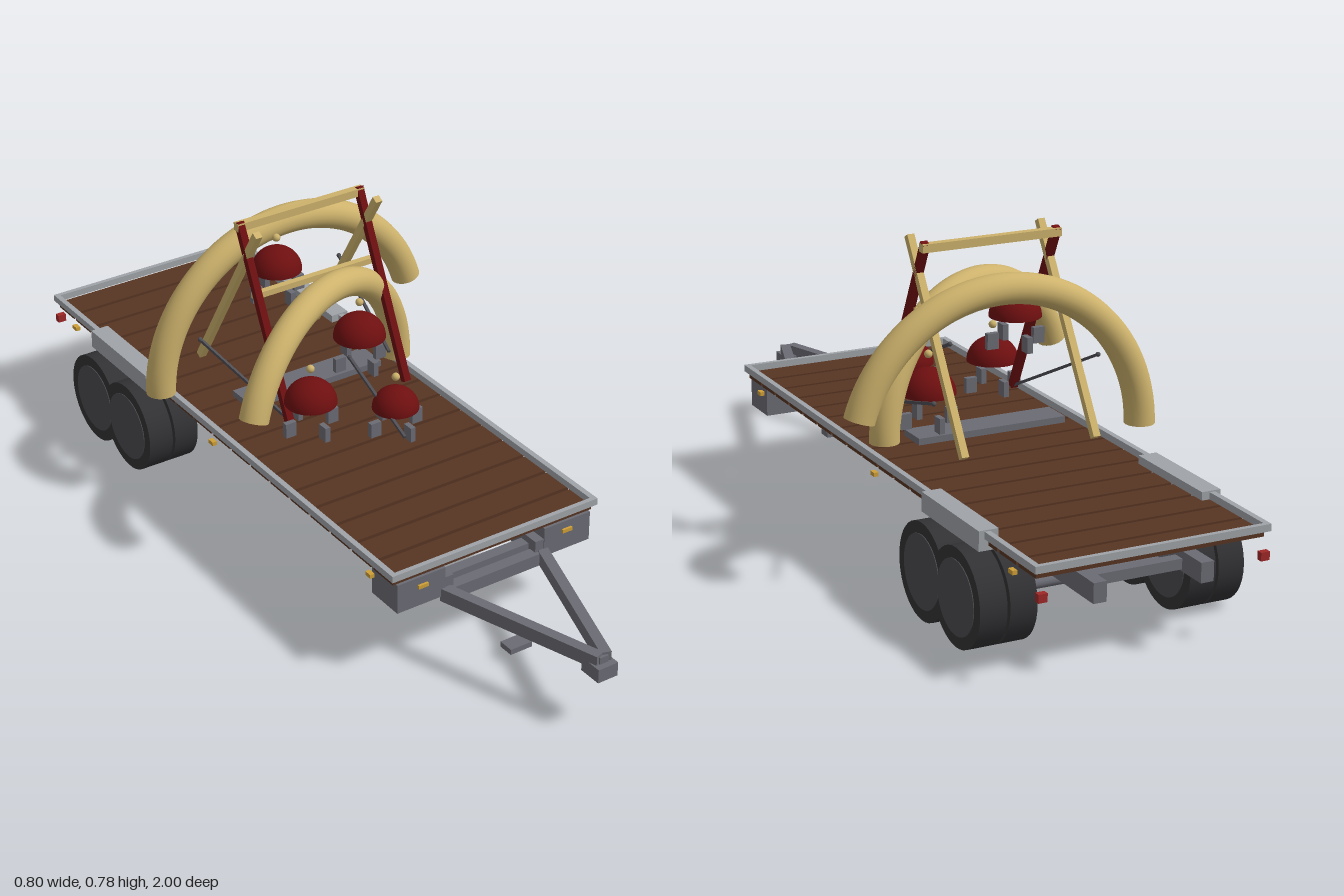
import * as THREE from 'three';

const mat = (name, color, side = THREE.FrontSide) => {
  const m = new THREE.MeshStandardMaterial({ color, side });
  m.name = name;
  return m;
};

export function createModel() {
  const wood = mat('deck wood', 0x573422);
  const steel = mat('chassis grey', 0x6b6b74);
  const trim = mat('light grey trim', 0xa0a4a8);
  const tan = mat('tan', 0xcdb26c);
  const red = mat('dark red', 0x6e0f10);
  const rubber = mat('tyre', 0x323235);
  const hub = mat('wheel hub', 0x4a4a4e);
  const amber = mat('amber lamp', 0xd0a038);
  const lampRed = mat('red lamp', 0xa02828);
  const rodGrey = mat('rod grey', 0x4e4e54);

  const model = new THREE.Group();
  model.name = 'trailerWithArches';
  const cx = -0.03; // trailer centreline

  const add = (name, geo, material, x = 0, y = 0, z = 0, parent = model) => {
    const m = new THREE.Mesh(geo, material);
    m.name = name;
    m.position.set(x, y, z);
    parent.add(m);
    return m;
  };
  // Box from its min and max on every axis
  const box = (name, material, x0, x1, y0, y1, z0, z1) =>
    add(name, new THREE.BoxGeometry(x1 - x0, y1 - y0, z1 - z0), material,
      (x0 + x1) / 2, (y0 + y1) / 2, (z0 + z1) / 2);
  // Square beam between two points
  const beam = (name, material, a, b, w, h = w) => {
    const p = new THREE.Vector3(...a), q = new THREE.Vector3(...b);
    const m = add(name, new THREE.BoxGeometry(w, h, p.distanceTo(q)), material);
    m.position.copy(p).add(q).multiplyScalar(0.5);
    m.lookAt(q);
    return m;
  };

  // Deck planks with gaps
  const planks = 18, z0 = -0.985, pitch = 1.565 / planks;
  for (let i = 0; i < planks; i++) {
    const z = z0 + i * pitch;
    box('deckPlank', wood, cx - 0.28, cx + 0.28, 0.246, 0.262, z + 0.005, z + pitch - 0.005);
  }

  // Deck edge trim
  for (const s of [-1, 1]) {
    const x = cx + s * 0.282;
    box('deckSideTrim', trim, x - 0.007, x + 0.007, 0.262, 0.279, -0.995, 0.587);
  }
  box('deckFrontTrim', trim, cx - 0.288, cx + 0.288, 0.262, 0.279, 0.575, 0.587);
  box('deckRearTrim', trim, cx - 0.288, cx + 0.288, 0.262, 0.279, -0.995, -0.983);

  // Chassis rails and crossmembers
  for (const s of [-1, 1]) {
    const x = cx + s * 0.132;
    box('chassisRail', steel, x - 0.016, x + 0.016, 0.17, 0.217, -0.992, 0.58);
  }
  for (let i = 0; i < 9; i++) {
    const z = -0.9 + i * 0.18;
    box('crossmember', steel, cx - 0.12, cx + 0.12, 0.175, 0.2, z - 0.014, z + 0.014);
  }

  // Mirrored corner boxes, fenders, wheels, lamps and drawbar
  for (const s of [-1, 1]) {
    const span = (name, m, a, b, y0, y1, za, zb) =>
      box(name, m, cx + Math.min(s * a, s * b), cx + Math.max(s * a, s * b), y0, y1, za, zb);
    span('frontBox', steel, 0.14, 0.272, 0.17, 0.246, 0.48, 0.582);
    span('fender', trim, 0.255, 0.303, 0.235, 0.282, -0.765, -0.485);
    span('frontLamp', amber, 0.19, 0.217, 0.218, 0.227, 0.582, 0.588);
    span('rearLamp', lampRed, 0.262, 0.284, 0.198, 0.218, -1.0, -0.985);
    for (const z of [0.49, -0.195, -0.885])
      span('sideLamp', amber, 0.278, 0.29, 0.225, 0.235, z - 0.01, z + 0.01);
    for (const z of [-0.543, -0.712]) {
      for (const x of [0.225, 0.298]) {
        const wheel = new THREE.Group();
        wheel.name = 'wheel';
        wheel.position.set(cx + s * x, 0.116, z);
        wheel.rotation.z = Math.PI / 2;
        model.add(wheel);
        add('tyre', new THREE.CylinderGeometry(0.116, 0.116, 0.066, 40), rubber, 0, 0, 0, wheel);
        add('hub', new THREE.CylinderGeometry(0.088, 0.088, 0.07, 32), hub, 0, 0, 0, wheel);
      }
    }
    beam('drawbarArm', steel, [cx + s * 0.14, 0.174, 0.575], [cx + s * 0.008, 0.174, 0.98], 0.026, 0.034);
  }
  for (const z of [-0.543, -0.712]) {
    const axle = add('axle', new THREE.CylinderGeometry(0.014, 0.014, 0.4, 12), steel, cx, 0.116, z);
    axle.rotation.z = Math.PI / 2;
  }
  box('drawbarCrossBeam', steel, cx - 0.143, cx + 0.147, 0.156, 0.188, 0.56, 0.59);
  box('coupler', steel, cx - 0.027, cx + 0.027, 0.133, 0.168, 0.94, 1.0);
  box('couplerNeck', steel, cx - 0.012, cx + 0.012, 0.165, 0.185, 0.96, 0.985);
  box('jackFoot', steel, cx - 0.03, cx + 0.03, 0.023, 0.037, 0.65, 0.69);

  // Curved tubes with coloured end discs
  const arch = (name, x, y, z, R, r, a0, a1, turn) => {
    const g = new THREE.Group();
    g.name = name;
    g.position.set(x, y, z);
    g.rotation.y = turn;
    model.add(g);
    const tube = add('archTube', new THREE.TorusGeometry(R, r, 20, 48, a1 - a0), tan, 0, 0, 0, g);
    tube.rotation.z = a0;
    [[a0, Math.PI / 2], [a1, -Math.PI / 2]].forEach(([a, tilt]) => {
      const holder = new THREE.Group();
      holder.rotation.z = a;
      g.add(holder);
      const cap = add('archEnd', new THREE.CircleGeometry(r, 20), red, R, 0, 0, holder);
      cap.rotation.x = tilt;
    });
  };
  const deg = Math.PI / 180;
  arch('rearArch', 0.008, 0.312, -0.352, 0.372, 0.037, 17 * deg, Math.PI, 0);
  arch('frontArch', -0.065, 0.304, -0.073, 0.32, 0.036, 0, 159 * deg, 23 * deg);

  // Crossed-leg frame
  for (const x of [-0.197, 0.143]) {
    beam('frontLeg', red, [x, 0.335, -0.028], [x, 0.78, -0.238], 0.018);
    beam('rearLeg', tan, [x, 0.325, -0.438], [x, 0.78, -0.155], 0.018);
  }
  box('topBar', tan, -0.207, 0.153, 0.759, 0.779, -0.246, -0.226);
  box('middleBar', tan, -0.197, 0.143, 0.597, 0.612, -0.192, -0.175);
  box('frameBase', steel, -0.22, 0.165, 0.302, 0.318, -0.25, -0.17);

  // Domes, each with a ball above and four blocks below
  const domes = [
    [-0.16, 0.394, 0.01, 0.064, 0.485, 0.32],
    [0.008, 0.379, 0.122, 0.057, 0.463, 0.32],
    [0.107, 0.401, -0.18, 0.066, 0.497, 0.322],
    [-0.065, 0.595, -0.285, 0.062, 0.68, 0.523],
  ];
  for (const [x, y, z, r, ballY, blockY] of domes) {
    add('dome', new THREE.SphereGeometry(r, 32, 12, 0, Math.PI * 2, 0, Math.PI / 2), red, x, y, z)
      .scale.y = 0.95;
    add('domeBase', new THREE.CircleGeometry(r, 32), red, x, y, z).rotation.x = Math.PI / 2;
    add('ball', new THREE.SphereGeometry(0.01, 16, 12), tan, x, ballY, z);
    for (let k = 0; k < 4; k++) {
      const a = k * Math.PI / 2;
      add('block', new THREE.BoxGeometry(0.029, 0.038, 0.014), steel,
        x + Math.cos(a) * 0.06, blockY + 0.019, z + Math.sin(a) * 0.06).rotation.y = a;
    }
  }

  // Slanted thin rods with round tips
  const rods = [
    [[-0.029, 0.355, 0.215], [-0.029, 0.46, -0.02]],
    [[-0.195, 0.335, -0.03], [-0.29, 0.47, -0.28]],
    [[0.155, 0.37, -0.12], [0.228, 0.472, -0.455]],
  ];
  for (const [a, b] of rods) {
    beam('rod', rodGrey, a, b, 0.007);
    add('rodTip', new THREE.SphereGeometry(0.006, 10, 8), rodGrey, ...b);
  }
  return model;
}
